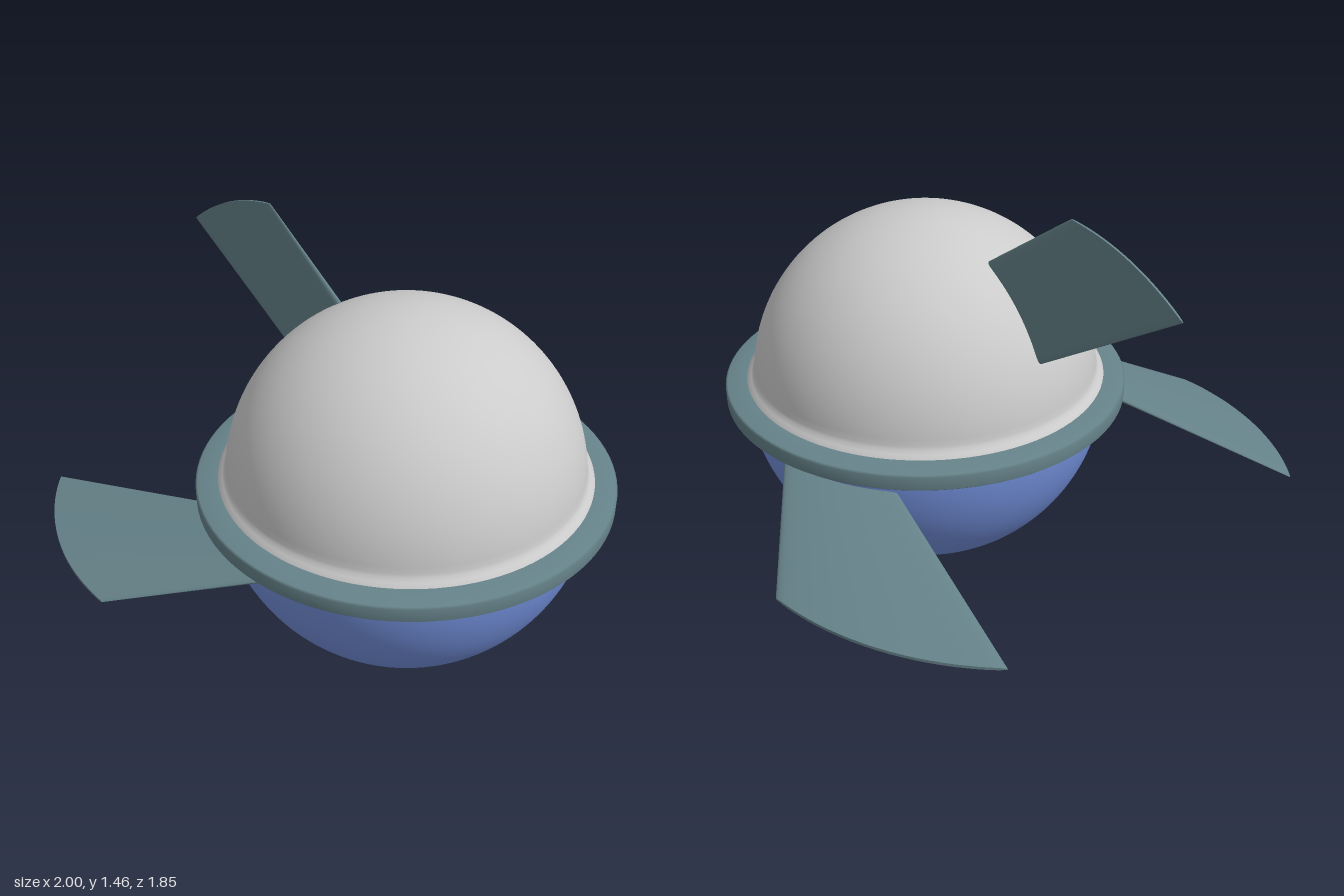
import * as THREE from 'three';

const CZ = 0.2; // the sphere sits forward of the centre
const N = 28;   // steps along a fin's chord

const mat = (color) => new THREE.MeshStandardMaterial({ color, side: THREE.DoubleSide });

function lathe(name, points, material) {
  const mesh = new THREE.Mesh(
    new THREE.LatheGeometry(points.map(([r, y]) => new THREE.Vector2(r, y)), 96), material);
  mesh.name = name;
  mesh.position.z = CZ;
  return mesh;
}

// points on a circle, from angle a0 to a1 (degrees above the horizontal)
function arc(radius, cy, a0, a1, steps = 32) {
  return Array.from({ length: steps + 1 }, (_, i) => {
    const a = THREE.MathUtils.degToRad(a0 + (a1 - a0) * i / steps);
    return [Math.max(0, radius * Math.cos(a)), cy + radius * Math.sin(a)];
  });
}

// Tapered blade ruled between a root curve and a tip curve, with rounded edges
function fin(name, root, tip, thickDir, rootThick, tipThick, material) {
  const loop = (curve, thick) => {
    const pts = [];
    for (const side of [1, -1]) {
      for (let i = 0; i <= N; i++) {
        const k = side > 0 ? i / N : 1 - i / N;
        const t = (1 - Math.cos(Math.PI * k)) / 2;
        const h = 0.5 * thick * Math.sqrt(Math.max(0, 1 - Math.pow(Math.abs(2 * t - 1), 16)));
        pts.push(curve(t).addScaledVector(thickDir, side * h));
      }
    }
    return pts;
  };
  const inner = loop((t) => root(t).lerp(tip(t), -0.14), rootThick);
  const outer = loop(tip, tipThick);
  const m = inner.length;
  const verts = [...inner, ...outer, ...outer]; // last copy keeps the tip edge sharp
  const index = [];
  for (let i = 0; i < m; i++) {
    const j = (i + 1) % m;
    index.push(i, m + i, j, j, m + i, m + j);
  }
  for (let i = 0; i < N; i++) {
    const a = 2 * m + i, b = 3 * m - 1 - i;
    index.push(a, b, a + 1, a + 1, b, b - 1);
  }
  const geo = new THREE.BufferGeometry().setFromPoints(verts);
  geo.setIndex(index);
  geo.computeVertexNormals();
  const mesh = new THREE.Mesh(geo, material);
  mesh.name = name;
  return mesh;
}

export function createModel() {
  const group = new THREE.Group();
  const grey = mat(0xcccccc), blue = mat(0x7390dc), teal = mat(0x66838a);

  // Lower bowl and upper dome with its flared foot
  group.add(lathe('lowerHull', arc(0.65, 0.65, -90, 0, 40), blue));
  group.add(lathe('upperDome',
    [[0.65, 0.68], [0.645, 0.7], [0.63, 0.71], [0.622, 0.725], ...arc(0.62, 0.68, 5, 90, 40)], grey));

  // Ring around the middle
  group.add(lathe('equatorRing',
    [[0.62, 0.632], [0.715, 0.632], [0.722, 0.638], [0.722, 0.684], [0.715, 0.69], [0.66, 0.7], [0.615, 0.7]], teal));

  // Swept side fins: concentric-looking arcs at the hull and at the tip
  for (const s of [1, -1]) {
    const curve = (r, y, z, sweep) => (t) => {
      const a = THREE.MathUtils.degToRad(sweep) * (s > 0 ? t : 1 - t);
      return new THREE.Vector3(s * r * Math.cos(a), y, z - r * Math.sin(a));
    };
    group.add(fin(s > 0 ? 'leftFin' : 'rightFin',
      curve(0.647, 0.563, CZ, 40), curve(1.0, 0.425, -0.22, 45),
      new THREE.Vector3(0, 1, 0), 0.028, 0.01, teal));
  }

  // Upright tail fin
  const rootLine = new THREE.LineCurve3(
    new THREE.Vector3(0, 1.21, -0.12), new THREE.Vector3(0, 0.925, -0.37));
  const tipCurve = new THREE.QuadraticBezierCurve3(
    new THREE.Vector3(0, 1.46, -0.47), new THREE.Vector3(0, 1.43, -0.71), new THREE.Vector3(0, 1.27, -0.91));
  group.add(fin('tailFin', (t) => rootLine.getPoint(t), (t) => tipCurve.getPoint(t),
    new THREE.Vector3(-1, 0, 0), 0.028, 0.008, teal));

  return group;
}
